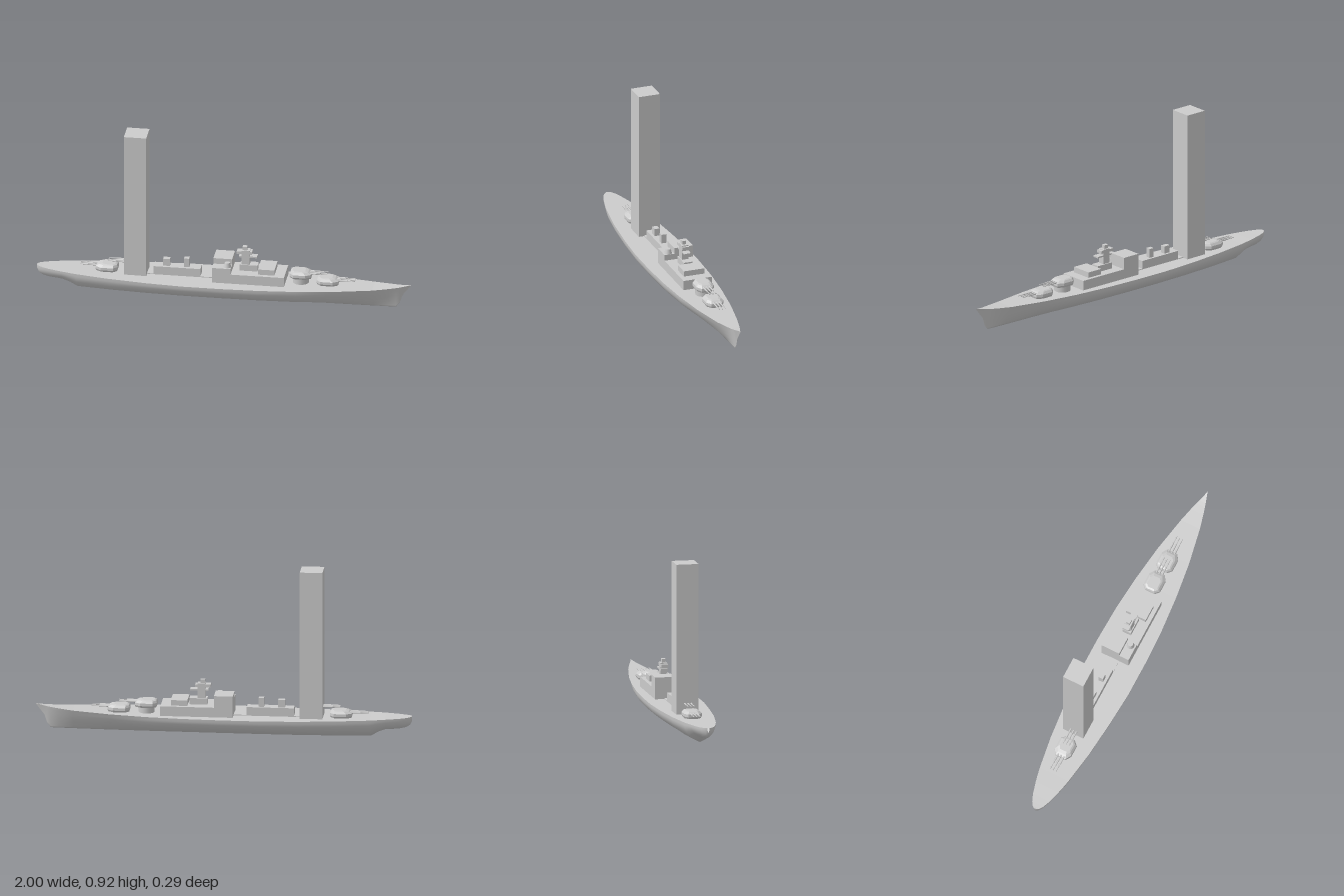
import * as THREE from 'three';

const smooth = new THREE.MeshStandardMaterial({ color: 0xcccccc, side: THREE.DoubleSide });
const flat = new THREE.MeshStandardMaterial({ color: 0xcccccc, flatShading: true, side: THREE.DoubleSide });
const MID = -0.012; // centreline of the fittings

// Skin a list of equally long rows of [x, y, z] points
function skin(rows, name, material) {
  const n = rows[0].length, index = [];
  for (let i = 0; i < rows.length - 1; i++) {
    for (let j = 0; j < n - 1; j++) {
      const a = i * n + j, c = a + n;
      index.push(a, a + 1, c, a + 1, c + 1, c);
    }
  }
  const geo = new THREE.BufferGeometry();
  geo.setAttribute('position', new THREE.Float32BufferAttribute(rows.flat(2), 3));
  geo.setIndex(index);
  geo.computeVertexNormals();
  const mesh = new THREE.Mesh(geo, material);
  mesh.name = name;
  return mesh;
}

// Box given by its limits on each axis
function block(name, x0, x1, y0, y1, z0, z1) {
  const mesh = new THREE.Mesh(new THREE.BoxGeometry(x1 - x0, y1 - y0, z1 - z0), flat);
  mesh.position.set((x0 + x1) / 2, (y0 + y1) / 2, (z0 + z1) / 2);
  mesh.name = name;
  return mesh;
}

function cylinder(name, rTop, rBottom, h, x, y, z, sides = 16) {
  const mesh = new THREE.Mesh(new THREE.CylinderGeometry(rTop, rBottom, h, sides), smooth);
  mesh.position.set(x, y, z);
  mesh.name = name;
  return mesh;
}

// Stations along the hull: x, deck height, keel height, half width
const STATIONS = [
  [-1, 0.12, 0.095, 0.006], [-0.99, 0.119, 0.073, 0.02], [-0.97, 0.118, 0.06, 0.033],
  [-0.93, 0.117, 0.05, 0.049], [-0.86, 0.116, 0.045, 0.068], [-0.82, 0.115, 0.03, 0.077],
  [-0.78, 0.114, 0.006, 0.085], [-0.6, 0.112, 0.002, 0.112], [-0.4, 0.11, 0, 0.131],
  [-0.2, 0.11, 0, 0.144], [0, 0.11, 0, 0.144], [0.2, 0.11, 0, 0.137], [0.4, 0.11, 0, 0.12],
  [0.6, 0.112, 0.001, 0.094], [0.8, 0.116, 0.003, 0.056], [0.88, 0.121, 0.004, 0.036],
  [0.92, 0.124, 0.005, 0.025], [0.94, 0.126, 0.03, 0.019], [0.955, 0.128, 0.075, 0.014],
  [0.98, 0.132, 0.107, 0.006], [1, 0.136, 0.134, 0.0005],
];
// Half section from deck edge to keel: height fraction, width fraction
const SECTION = [[1, 1], [0.86, 0.99], [0.72, 0.96], [0.52, 0.86], [0.33, 0.67], [0.17, 0.45], [0.06, 0.18], [0, 0]];

function hull() {
  const g = new THREE.Group();
  g.name = 'hull';
  const rows = STATIONS.map(([x, top, keel, w]) => {
    // sections become hollow and V-shaped towards the bow
    const v = THREE.MathUtils.smoothstep(x, 0.3, 0.95);
    const half = SECTION.map(([h, f]) =>
      [x, keel + (top - keel) * h, w * THREE.MathUtils.lerp(f, Math.pow(h, 1.1), v)]);
    return [...half, ...half.slice(0, -1).reverse().map(([px, y, z]) => [px, y, -z])];
  });
  g.add(skin(rows, 'hullShell', smooth));
  // deck rows run from the right edge to the left edge
  g.add(skin(STATIONS.map(([x, top, , w]) => [[x, top, -w], [x, top, w]]), 'deck', flat));
  return g;
}

// Three barrels with thicker sleeves, pointing along +x
function barrels(tip) {
  const g = new THREE.Group();
  g.name = 'gunBarrels';
  for (const z of [-0.017, 0, 0.017]) {
    const gun = cylinder('barrel', 0.0025, 0.003, tip - 0.03, (tip + 0.03) / 2, 0.026, z, 8);
    const sleeve = cylinder('barrelSleeve', 0.004, 0.005, 0.06, 0.075, 0.026, z, 8);
    gun.rotation.z = sleeve.rotation.z = -Math.PI / 2;
    g.add(gun, sleeve);
  }
  return g;
}

// Faceted gun house tapering towards a smaller roof
function turret(name) {
  const g = new THREE.Group();
  g.name = name;
  const side = [[-0.058, 0.027], [-0.036, 0.049], [0.03, 0.049], [0.06, 0.03]];
  const plan = [...side, ...side.map(([x, z]) => [x, -z]).reverse(), side[0]];
  const ring = (y, sx, sz, dx) => plan.map(([x, z]) => [x * sx + dx, y, z * sz]);
  const levels = [[0, 0.94, 0.9, 0], [0.01, 1, 1, 0], [0.024, 0.98, 0.98, 0],
    [0.035, 0.8, 0.78, -0.007], [0.039, 0.58, 0.62, -0.01], [0.039, 0, 0, -0.01]];
  g.add(skin(levels.map((l) => ring(...l)), 'gunHouse', flat), barrels(0.145));
  return g;
}

export function createModel() {
  const model = new THREE.Group();
  model.name = 'warship';
  model.add(hull());

  // Main guns: two forward, one aft
  for (const [name, x, y, turn] of [['foreTurret', 0.555, 0.113, 0],
    ['raisedForeTurret', 0.41, 0.142, 0], ['aftTurret', -0.625, 0.113, Math.PI]]) {
    const t = turret(name);
    t.position.set(x, y, MID);
    t.rotation.y = turn;
    model.add(t, cylinder(name + 'Barbette', 0.043, 0.043, y - 0.1, x, (y + 0.1) / 2, MID));
  }

  // Raised aft guns emerging from the tall pillar
  const aftGuns = barrels(0.145);
  aftGuns.position.set(-0.475, 0.142, MID);
  aftGuns.rotation.y = Math.PI;
  model.add(aftGuns);
  model.add(block('tallPillar', -0.53, -0.41, 0.1, 0.917, -0.075, 0.045));

  // Aft deckhouse with two small stacks
  model.add(
    block('deckWalkway', -0.41, -0.055, 0.1, 0.114, -0.04, 0.015),
    block('aftDeckhouse', -0.375, -0.125, 0.1, 0.157, -0.04, 0.015),
    block('aftStack', -0.327, -0.29, 0.15, 0.197, -0.027, 0),
    block('foreStack', -0.215, -0.187, 0.15, 0.206, -0.027, 0),
  );

  // Main superstructure
  model.add(
    block('superstructureBase', -0.055, 0.33, 0.1, 0.163, -0.09, 0.07),
    block('aftBlock', -0.055, 0.045, 0.16, 0.195, -0.09, 0.07),
    block('hangarBlock', -0.055, 0.045, 0.19, 0.227, -0.09, 0.015),
    block('foreBridge', 0.188, 0.276, 0.16, 0.193, -0.07, 0.048),
    cylinder('gunTub', 0.014, 0.021, 0.026, 0.024, 0.207, 0.042),
  );

  // Command tower with platforms
  model.add(
    block('towerBase', 0.085, 0.18, 0.16, 0.197, -0.036, 0.012),
    block('towerShaft', 0.095, 0.138, 0.19, 0.277, -0.03, 0.007),
    block('lowerPlatform', 0.08, 0.177, 0.238, 0.246, -0.03, 0.007),
    block('upperPlatform', 0.068, 0.15, 0.257, 0.272, -0.03, 0.007),
    block('towerTop', 0.098, 0.123, 0.27, 0.297, -0.022, -0.001),
  );
  return model;
}
